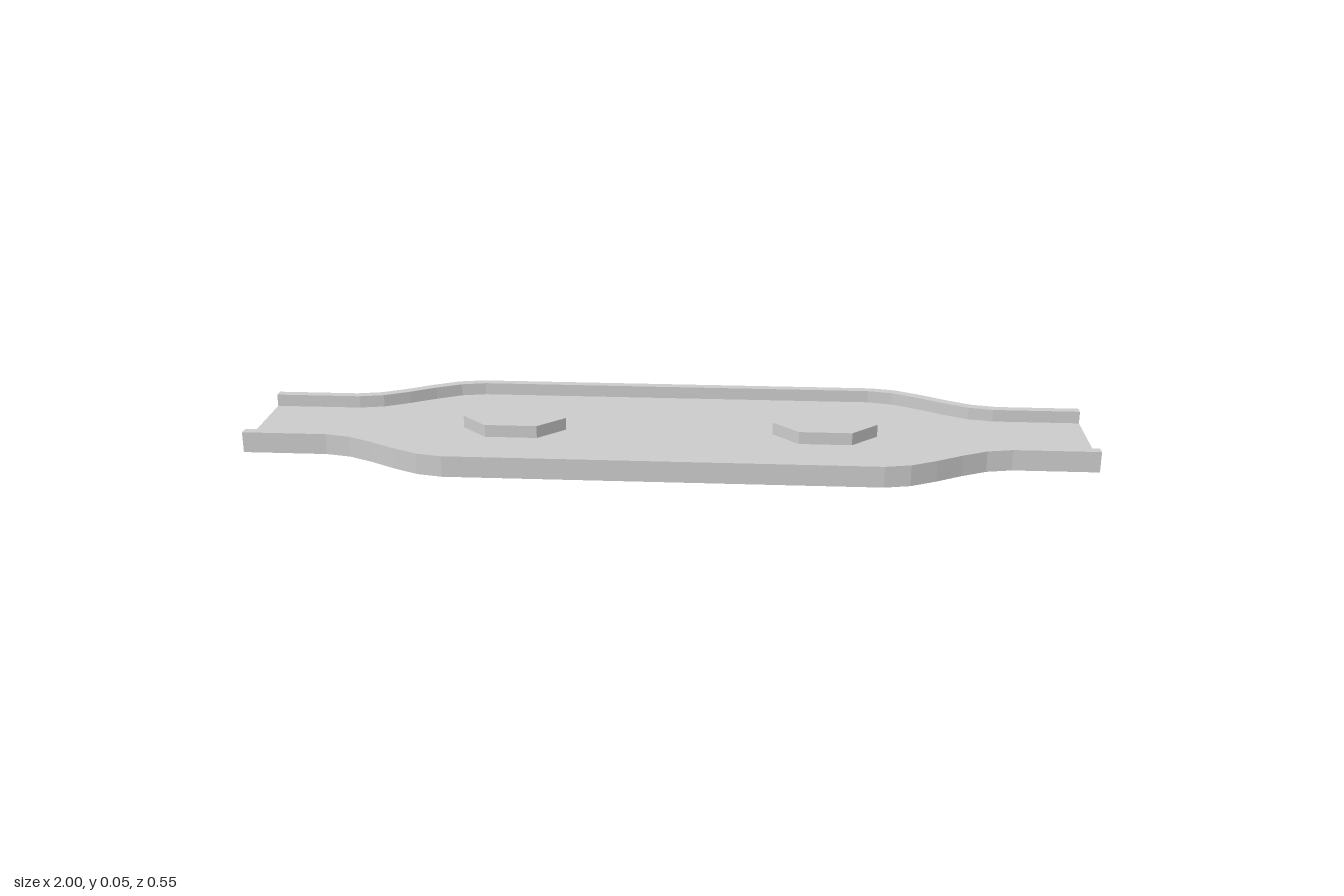
import * as THREE from 'three';

const HEIGHT = 0.05, FLOOR = 0.02, STEPS = 5;

// Half-width profile from x = -1 to x = 1: wide middle easing into narrow ends
function profile(wide, narrow, start, end) {
  const half = [];
  for (let i = 0; i <= STEPS; i++) {
    const t = i / STEPS, s = t * t * (3 - 2 * t);
    half.push([start + (end - start) * t, wide + (narrow - wide) * s]);
  }
  half.push([1, narrow]);
  const mirrored = half.map(([x, z]) => [-x, z]).reverse();
  return [...mirrored, ...half].map(([x, z]) => new THREE.Vector2(x, z));
}

const flip = (points) => points.map((p) => new THREE.Vector2(p.x, -p.y)).reverse();

export function createModel() {
  const group = new THREE.Group();
  const material = new THREE.MeshStandardMaterial({ color: 0xcccccc, flatShading: true });
  const thin = material.clone();
  thin.side = THREE.DoubleSide;

  const add = (name, geometry, mat, y = 0) => {
    geometry.rotateX(-Math.PI / 2);
    const mesh = new THREE.Mesh(geometry, mat);
    mesh.name = name;
    mesh.position.y = y;
    group.add(mesh);
  };
  const extrude = (points) => new THREE.ExtrudeGeometry(new THREE.Shape(points),
    { depth: HEIGHT, bevelEnabled: false });

  const outer = profile(0.275, 0.15, 0.5, 0.8);
  const inner = profile(0.252, 0.127, 0.49, 0.79);

  // Side rails following the outline
  const rail = [...outer, ...inner.slice().reverse()];
  add('backRail', extrude(rail), material);
  add('frontRail', extrude(flip(rail)), material);

  // Thin deck and underside, open at both ends
  const sheet = () => new THREE.ShapeGeometry(new THREE.Shape([...inner, ...flip(inner)]));
  add('deck', sheet(), thin, FLOOR);
  add('underside', sheet(), thin);

  // Six-sided bosses on the deck
  for (const side of [-1, 1]) {
    const hex = [[-0.125, 0], [-0.0625, -0.0625], [0.0625, -0.0625],
      [0.125, 0], [0.0625, 0.0625], [-0.0625, 0.0625]]
      .map(([x, z]) => new THREE.Vector2(x + side * 0.375, z));
    add(side > 0 ? 'leftBoss' : 'rightBoss', extrude(hex), material);
  }
  return group;
}
